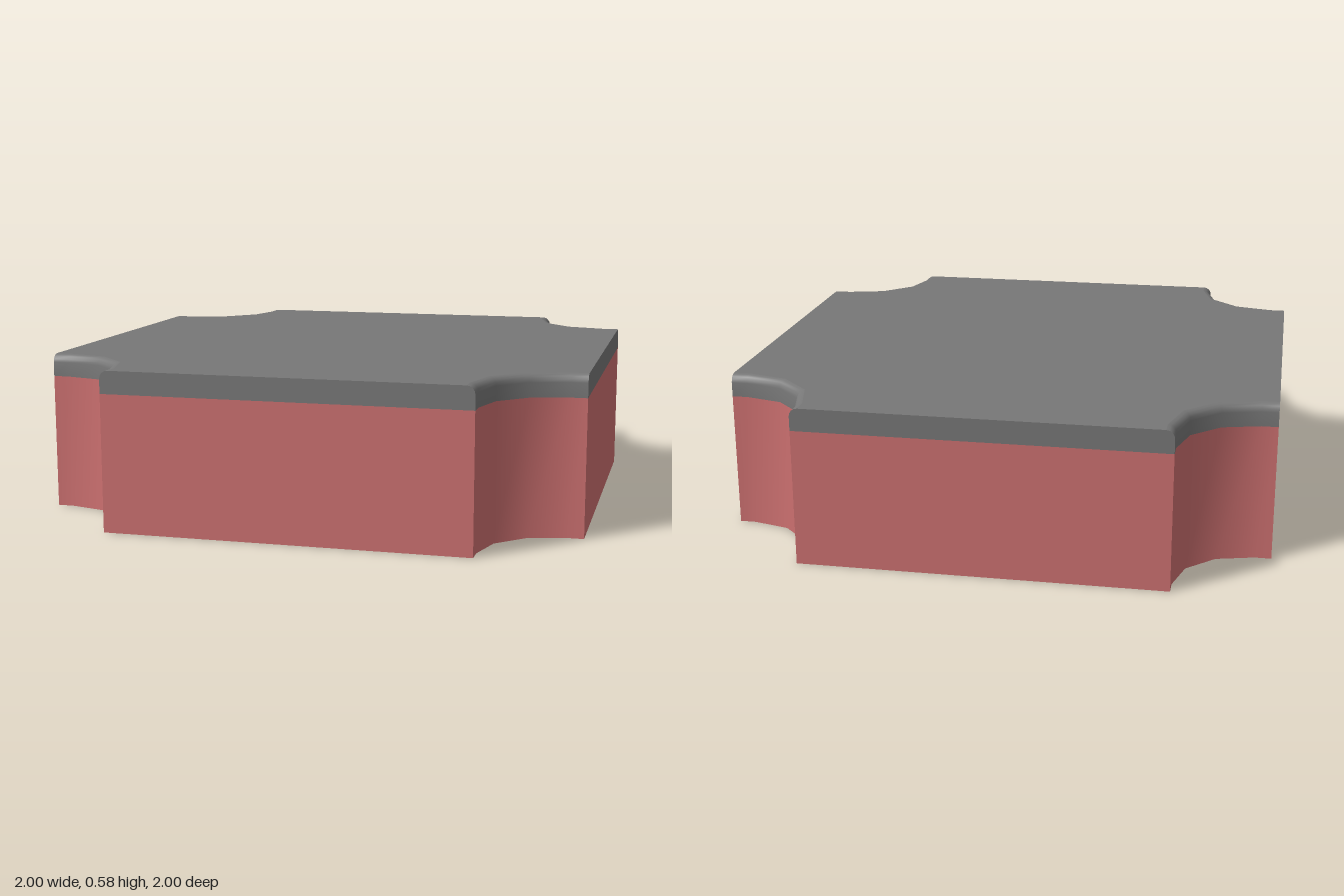
import * as THREE from 'three';
import { mergeGeometries, toCreasedNormals } from 'three/addons/utils/BufferGeometryUtils.js';

const CENTRE = 0.94, RADIUS = 0.275, FILLET = 0.03;
const SEAM = 0.5, TOP = 0.583;

// Square outline with four scooped corners, the scoops widened by d
function outline(d) {
  const r = RADIUS + d;
  const corner = [new THREE.Vector2(1, CENTRE - r)];
  for (let i = 0; i <= 3; i++) {
    const a = -Math.PI / 2 - (i * Math.PI) / 6;
    corner.push(new THREE.Vector2(CENTRE + r * Math.cos(a), CENTRE + r * Math.sin(a)));
  }
  corner.push(new THREE.Vector2(CENTRE - r, 1));
  const origin = new THREE.Vector2();
  const points = [];
  for (let k = 0; k < 4; k++) {
    for (const p of corner) points.push(p.clone().rotateAround(origin, (k * Math.PI) / 2));
  }
  return points;
}

// Walls joining outlines at successive levels [height, widening]
function walls(levels) {
  const rings = levels.map(([y, d]) => outline(d).map((p) => [p.x, y, -p.y]));
  const pos = [];
  for (let i = 0; i < rings.length - 1; i++) {
    const low = rings[i], high = rings[i + 1];
    for (let j = 0; j < low.length; j++) {
      const n = (j + 1) % low.length;
      pos.push(...low[j], ...low[n], ...high[n], ...low[j], ...high[n], ...high[j]);
    }
  }
  const geo = new THREE.BufferGeometry();
  geo.setAttribute('position', new THREE.Float32BufferAttribute(pos, 3));
  return toCreasedNormals(geo, 0.7);
}

// Flat face closing the top (up = 1) or bottom (up = -1)
function cap(y, d, up) {
  const geo = new THREE.ShapeGeometry(new THREE.Shape(outline(d))).toNonIndexed();
  geo.deleteAttribute('uv');
  return geo.rotateX((-up * Math.PI) / 2).translate(0, y, 0);
}

function part(name, color, geometries) {
  const mesh = new THREE.Mesh(
    mergeGeometries(geometries),
    new THREE.MeshStandardMaterial({ color })
  );
  mesh.name = name;
  return mesh;
}

export function createModel() {
  const model = new THREE.Group();
  model.name = 'scoopedCornerBlock';

  // Coloured body
  model.add(part('body', 0xcc7070, [walls([[0, 0], [SEAM, 0]]), cap(0, 0, -1)]));

  // Top slab, rounded over along the scoops only
  const levels = [[SEAM, 0]];
  for (let i = 0; i <= 4; i++) {
    const a = (i * Math.PI) / 8;
    levels.push([TOP - FILLET * (1 - Math.sin(a)), FILLET * (1 - Math.cos(a))]);
  }
  model.add(part('topSlab', 0x777777, [walls(levels), cap(TOP, FILLET, 1)]));

  return model;
}
